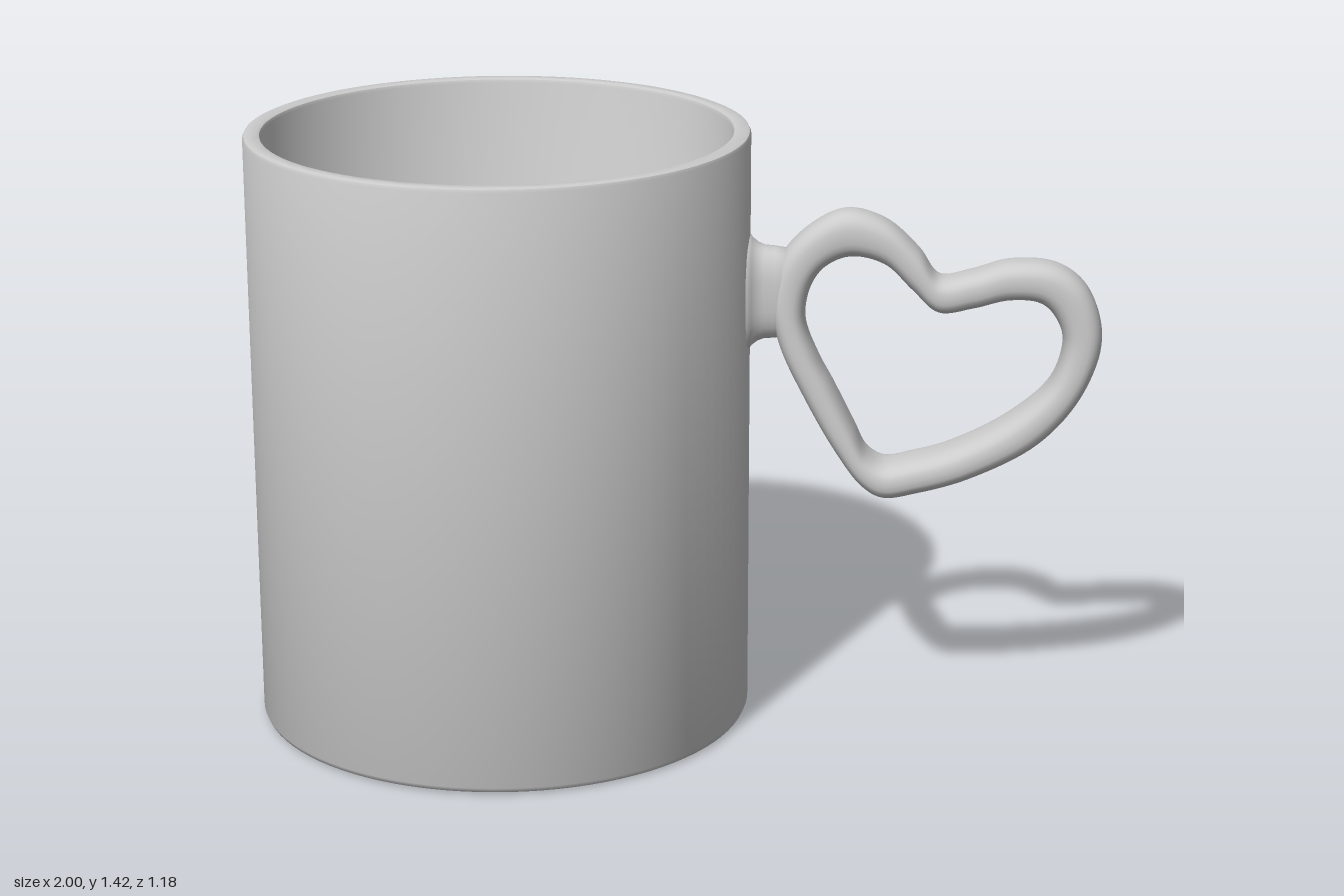
import * as THREE from 'three';
import { toCreasedNormals } from 'three/addons/utils/BufferGeometryUtils.js';

const material = new THREE.MeshStandardMaterial({ color: 0xcccccc });
const CUP_X = -0.412;

// Skin a list of equal-length rings of Vector3; optionally join last ring to first
function loft(rings, closed) {
  const n = rings[0].length, m = rings.length, index = [];
  for (let i = 0; i < (closed ? m : m - 1); i++) {
    for (let j = 0; j < n; j++) {
      const k = (i + 1) % m, l = (j + 1) % n;
      const a = i * n + j, b = k * n + j, c = k * n + l, d = i * n + l;
      index.push(a, b, c, a, c, d);
    }
  }
  const geometry = new THREE.BufferGeometry().setFromPoints(rings.flat());
  geometry.setIndex(index);
  geometry.computeVertexNormals();
  return geometry;
}

// Rounded-square ring: centre, in-plane half-axis, half depth along z
function ring(centre, axis, depth, sides = 28) {
  const soft = (v) => Math.sign(v) * Math.abs(v) ** 0.78;
  return Array.from({ length: sides }, (_, j) => {
    const a = (j / sides) * Math.PI * 2;
    const p = centre.clone().addScaledVector(axis, soft(Math.cos(a)));
    p.z += depth * soft(Math.sin(a));
    return p;
  });
}

function addMesh(group, name, geometry) {
  const mesh = new THREE.Mesh(geometry, material);
  mesh.name = name;
  group.add(mesh);
  return mesh;
}

export function createModel() {
  const group = new THREE.Group();
  group.name = 'mug';

  // Cup: outside, rounded rim, inside wall and floor in one turned profile
  const profile = [
    [0, 0], [0.572, 0], [0.583, 0.005], [0.588, 0.016], [0.588, 1.41], [0.585, 1.417],
    [0.578, 1.42], [0.556, 1.42], [0.549, 1.417], [0.546, 1.41],
    [0.536, 0.075], [0.526, 0.06], [0, 0.06],
  ].map(([x, y]) => new THREE.Vector2(x, y));
  const cup = addMesh(group, 'cup', toCreasedNormals(new THREE.LatheGeometry(profile, 96), 0.75));
  cup.position.x = CUP_X;

  // Heart loop: matching outer and inner outline points, from the tip counterclockwise
  const outline = [
    [0.495, 0.548, 0.495, 0.636], [0.58, 0.562, 0.56, 0.648], [0.70, 0.60, 0.65, 0.676],
    [0.86, 0.69, 0.785, 0.75], [0.96, 0.815, 0.88, 0.84], [0.998, 0.95, 0.907, 0.94],
    [0.96, 1.067, 0.885, 1.0], [0.89, 1.12, 0.85, 1.03], [0.78, 1.127, 0.78, 1.035],
    [0.69, 1.1, 0.70, 1.015], [0.617, 1.088, 0.617, 1.003], [0.57, 1.15, 0.555, 1.055],
    [0.49, 1.22, 0.49, 1.115], [0.40, 1.243, 0.41, 1.132], [0.32, 1.206, 0.35, 1.105],
    [0.25, 1.13, 0.318, 1.056], [0.225, 1.03, 0.307, 0.976], [0.245, 0.92, 0.34, 0.885],
    [0.30, 0.80, 0.375, 0.82], [0.38, 0.66, 0.425, 0.72], [0.445, 0.575, 0.455, 0.66],
  ];
  const curve = (k) => new THREE.CatmullRomCurve3(
    outline.map((p) => new THREE.Vector3(p[k], p[k + 1], 0)), true);
  const outer = curve(0), inner = curve(2);
  const heart = [];
  for (let i = 0; i < 168; i++) {
    const o = outer.getPoint(i / 168), n = inner.getPoint(i / 168);
    const centre = o.clone().add(n).multiplyScalar(0.5);
    // The loop grows thicker toward its tip
    const depth = THREE.MathUtils.mapLinear(centre.y, 0.6, 1.2, 0.079, 0.056);
    heart.push(ring(centre, o.sub(n).multiplyScalar(0.5), depth));
  }
  addMesh(group, 'heartHandle', loft(heart, true));

  // Stem flaring into the cup wall: x, half height, half depth
  const stem = [
    [0.285, 0.085, 0.045], [0.26, 0.105, 0.056], [0.235, 0.109, 0.057], [0.21, 0.111, 0.058],
    [0.195, 0.117, 0.062], [0.182, 0.127, 0.071], [0.172, 0.14, 0.084], [0.15, 0.142, 0.086],
  ].map(([x, h, d]) => ring(new THREE.Vector3(x, 1.04, 0), new THREE.Vector3(0, h, 0), d));
  addMesh(group, 'handleStem', loft(stem, false));

  return group;
}
